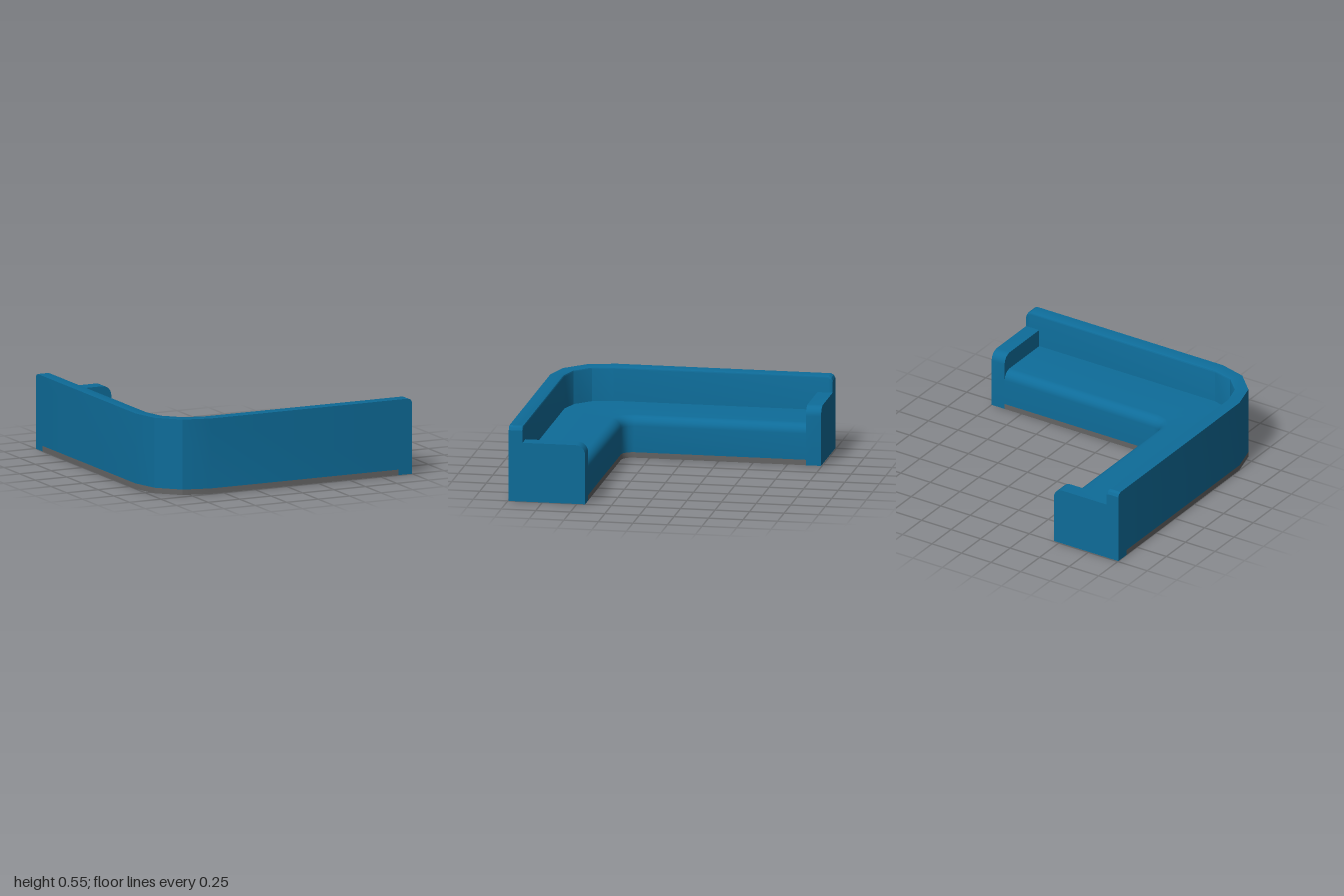
import * as THREE from 'three';
import { toCreasedNormals } from 'three/addons/utils/BufferGeometryUtils.js';

const END = 0.993; // front and back limit in z
const ARM = 0.11; // armrest width
const BACK = { x: -0.6, z: END - 0.4 }; // centre of the outer corner arc
const FRONT = { x: -0.375, z: 0.36 }; // centre of the inner corner arc
const TRIM = 0.04; // height of the base trim

// Stations along the L: down the side wing, round the corner, along the front wing.
// gap = distance from the free end of each wing.
function stations(gaps) {
  const start = gaps.map((gap) => ({ a: 0, z: -END + gap, gap }));
  const corner = [0, 30, 60, 90].map((d) => ({ a: THREE.MathUtils.degToRad(d), gap: 1 }));
  const end = [...gaps].reverse().map((gap) => ({ a: Math.PI / 2, x: 1 - gap, gap }));
  return [...start, ...corner, ...end];
}

// Sweeps a profile of [centre, radius, y] points along the stations.
function sweep(list, profile, crease, capped = false) {
  const rows = list.map((s) => profile(s).map(([c, r, y]) => [
    s.x ?? c.x - r * Math.cos(s.a), y, s.z ?? c.z + r * Math.sin(s.a),
  ]));
  const n = rows[0].length;
  const index = [];
  for (let j = 0; j < rows.length - 1; j++) {
    for (let i = 0; i < n - 1; i++) {
      const p = j * n + i;
      index.push(p, p + n, p + 1, p + 1, p + n, p + n + 1);
    }
  }
  if (capped) {
    const last = (rows.length - 1) * n;
    for (let i = 1; i < n - 1; i++) {
      index.push(0, i, i + 1, last, last + i + 1, last + i);
    }
  }
  const geo = new THREE.BufferGeometry();
  geo.setAttribute('position', new THREE.Float32BufferAttribute(rows.flat(2), 3));
  geo.setIndex(index);
  return toCreasedNormals(geo, THREE.MathUtils.degToRad(crease));
}

// Armrest side outline from the back to a rounded top front corner.
function armGeometry(back, front) {
  const r = 0.07, h = 0.43;
  const dir = Math.sign(front - back);
  const shape = new THREE.Shape();
  shape.moveTo(back, 0);
  shape.lineTo(back, h);
  for (let i = 0; i <= 6; i++) {
    const t = (i / 6) * Math.PI / 2;
    shape.lineTo(front - dir * r * (1 - Math.sin(t)), h - r * (1 - Math.cos(t)));
  }
  shape.lineTo(front, 0);
  shape.closePath();
  const geo = new THREE.ExtrudeGeometry(shape, { depth: ARM, bevelEnabled: false });
  return toCreasedNormals(geo, THREE.MathUtils.degToRad(30));
}

export function createModel() {
  const group = new THREE.Group();
  const upholstery = new THREE.MeshStandardMaterial({ color: 0x0e6c99 });
  upholstery.name = 'blue upholstery';
  const trim = new THREE.MeshStandardMaterial({ color: 0x646464 });
  trim.name = 'grey trim';
  const add = (name, geometry, material) => {
    const mesh = new THREE.Mesh(geometry, material);
    mesh.name = name;
    group.add(mesh);
    return mesh;
  };
  const between = stations([ARM]);

  // Backrest wall, softened along the inner top edge and at both free ends
  const dropAt = { 0: 0.03, 0.01: 0.01, 0.03: 0 };
  add('backrest', sweep(stations([0, 0.01, 0.03]), (s) => {
    const top = 0.548 - (dropAt[s.gap] ?? 0);
    return [
      [BACK, 0.4, TRIM], [BACK, 0.4, top], [BACK, 0.313, top],
      [BACK, 0.304, top - 0.004], [BACK, 0.3, top - 0.013], [BACK, 0.3, TRIM],
    ];
  }, 25, true), upholstery);

  // Seat with a rounded front edge
  const r = 0.07;
  add('seat', sweep(between, () => {
    const points = [[BACK, 0.31, 0.3]];
    for (let i = 0; i <= 6; i++) {
      const t = (i / 6) * Math.PI / 2;
      points.push([FRONT, 0.08 + r * (1 - Math.sin(t)), 0.3 - r * (1 - Math.cos(t))]);
    }
    points.push([FRONT, 0.08, TRIM]);
    return points;
  }, 35), upholstery);

  // Base trim on both sides, and the underside
  add('outerTrim', sweep(between, () => [[BACK, 0.4, 0], [BACK, 0.4, TRIM]], 25), trim);
  add('innerTrim', sweep(between, () => [[FRONT, 0.08, TRIM], [FRONT, 0.08, 0]], 35), trim);
  add('underside', sweep(between, () => [[FRONT, 0.08, 0], [BACK, 0.4, 0]], 25), upholstery);

  // Armrests closing the two wings
  const leftArm = add('leftArmrest', armGeometry(END, 0.44), upholstery);
  leftArm.rotation.y = -Math.PI / 2;
  leftArm.position.x = 1;
  const rearArm = add('rearArmrest', armGeometry(-1, -0.455), upholstery);
  rearArm.position.z = -END;

  return group;
}
